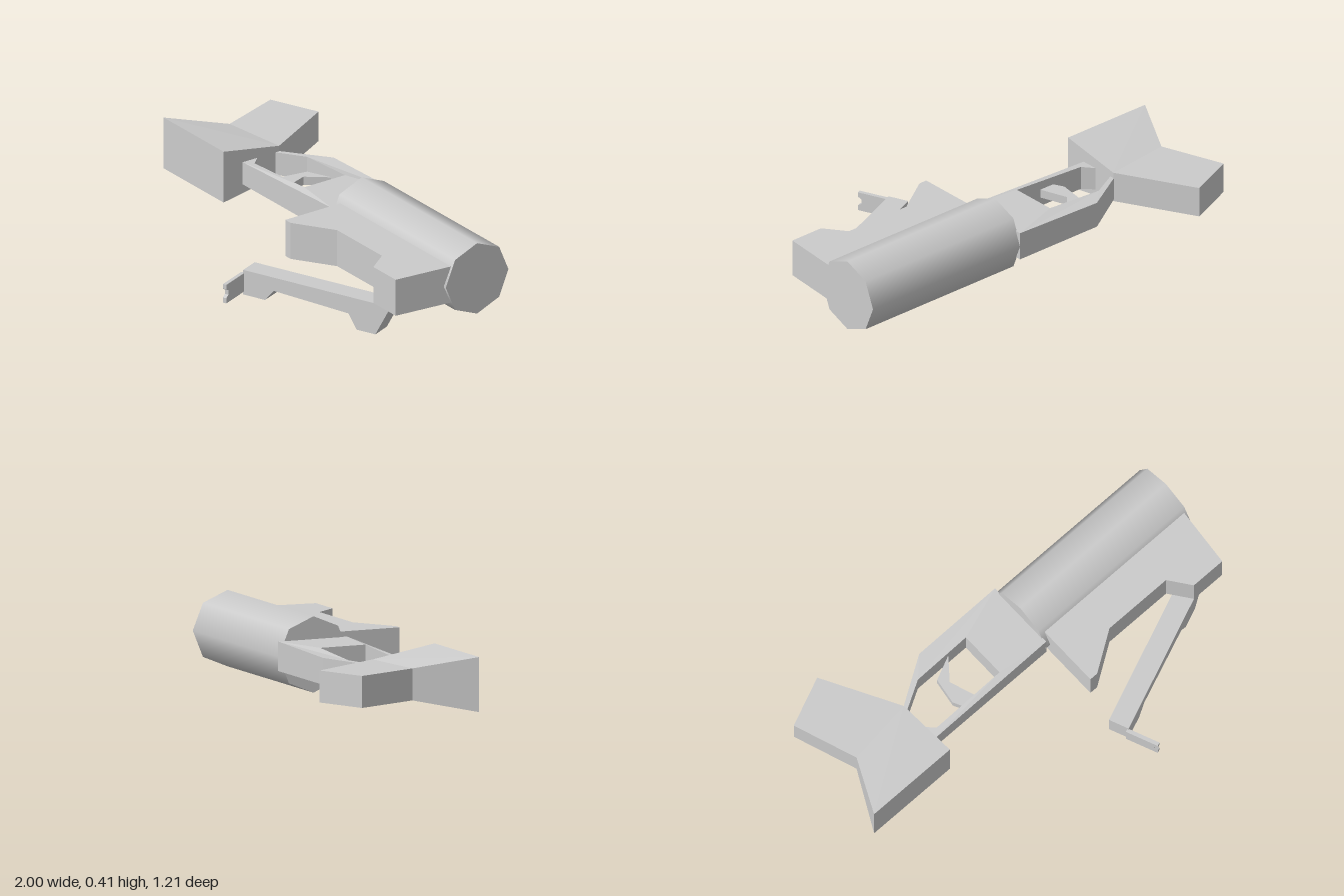
import * as THREE from 'three';

const material = new THREE.MeshStandardMaterial({ color: 0xcccccc, flatShading: true });
const smooth = new THREE.MeshStandardMaterial({ color: 0xcccccc });

function part(name, geometry, mat = material) {
  const mesh = new THREE.Mesh(geometry, mat);
  mesh.name = name;
  return mesh;
}

const shapeOf = (points) => new THREE.Shape(points.map(([a, b]) => new THREE.Vector2(a, b)));

const extrude = (points, depth) =>
  new THREE.ExtrudeGeometry(shapeOf(points), { depth, bevelEnabled: false });

// Slab with an outline in (x, z), standing between two heights
function slab(points, y0, y1) {
  const geometry = extrude(points.map(([x, z]) => [x, -z]), y1 - y0);
  return geometry.rotateX(-Math.PI / 2).translate(0, y0, 0);
}

// Stock lofted through rows of [x0, z0, x1, z1, halfHeight]
function stockGeometry() {
  const midY = 0.24;
  const rows = [
    [-1, 0.055, -0.545, 0.055, 0.124],
    [-0.865, -0.21, -0.545, -0.25, 0.072],
    [-0.97, -0.51, -0.74, -0.608, 0.072],
  ];
  const positions = [];
  for (const [x0, z0, x1, z1, h] of rows) {
    positions.push(x0, midY - h, z0, x1, midY - h, z1, x1, midY + h, z1, x0, midY + h, z0);
  }
  const index = [0, 1, 2, 0, 2, 3, 8, 10, 9, 8, 11, 10];
  for (let r = 0; r < rows.length - 1; r++) {
    for (let i = 0; i < 4; i++) {
      const a = r * 4 + i, b = r * 4 + (i + 1) % 4;
      index.push(a, a + 4, b, b, a + 4, b + 4);
    }
  }
  const geometry = new THREE.BufferGeometry();
  geometry.setAttribute('position', new THREE.Float32BufferAttribute(positions, 3));
  geometry.setIndex(index);
  const flat = geometry.toNonIndexed();
  flat.computeVertexNormals();
  return flat;
}

// Open frame whose top drops slightly toward the stock
function frameGeometry() {
  const geometry = slab([
    [-0.55, -0.25], [-0.325, -0.39], [0.13, -0.39], [0.13, -0.05], [-0.55, -0.05],
    [-0.55, -0.135], [-0.5, -0.082], [-0.122, -0.082], [-0.122, -0.305],
    [-0.41, -0.305], [-0.55, -0.227],
  ], 0.177, 0.31);
  const p = geometry.attributes.position;
  for (let i = 0; i < p.count; i++) {
    if (p.getY(i) > 0.25) {
      p.setY(i, THREE.MathUtils.mapLinear(Math.min(p.getX(i), -0.12), -0.55, -0.12, 0.285, 0.31));
    }
  }
  geometry.computeVertexNormals();
  return geometry;
}

// Slanted arm with a foot at one end and a notched plate at the other
function createArm() {
  const arm = new THREE.Group();
  arm.name = 'foldingArm';
  arm.add(part('armBar', extrude([
    [0, 0.155], [0, 0.035], [0.114, 0.035], [0.16, 0.09], [0.55, 0.073],
    [0.592, 0.004], [0.69, 0.004], [0.77, 0.155],
  ], 0.097)));

  // Outline in (-z, y), then turned so its thickness runs along the bar
  const plate = extrude([
    [-0.09, 0.05], [-0.09, 0.14], [-0.247, 0.14], [-0.247, 0.118], [-0.23, 0.108],
    [-0.23, 0.086], [-0.247, 0.075], [-0.247, 0.05],
  ], 0.018).rotateY(Math.PI / 2).translate(-0.014, 0, 0);
  arm.add(part('notchedPlate', plate));

  arm.position.set(0.125, 0, 0.37);
  arm.rotation.y = 0.392;
  return arm;
}

export function createModel() {
  const model = new THREE.Group();
  model.name = 'model';

  model.add(part('stock', stockGeometry()));
  model.add(part('frame', frameGeometry()));

  // Curved lever inside the frame opening
  model.add(part('lever', slab([
    [-0.34, -0.255], [-0.225, -0.308], [-0.305, -0.21], [-0.26, -0.08],
    [-0.335, -0.08], [-0.36, -0.13],
  ], 0.22, 0.26)));

  // Eight-sided barrel lying along x
  const barrel = new THREE.CylinderGeometry(0.172, 0.172, 0.875, 8)
    .rotateZ(-Math.PI / 2).translate(0.5625, 0.241, -0.218);
  model.add(part('barrel', barrel, smooth));

  // Side grip along the barrel
  model.add(part('sideGrip', slab([
    [0.15, -0.1], [0.15, 0.22], [0.19, 0.22], [0.375, 0.098], [0.715, 0.098],
    [0.79, 0.2], [0.96, 0.2], [0.99, -0.1],
  ], 0.155, 0.331)));

  model.add(createArm());
  return model;
}
